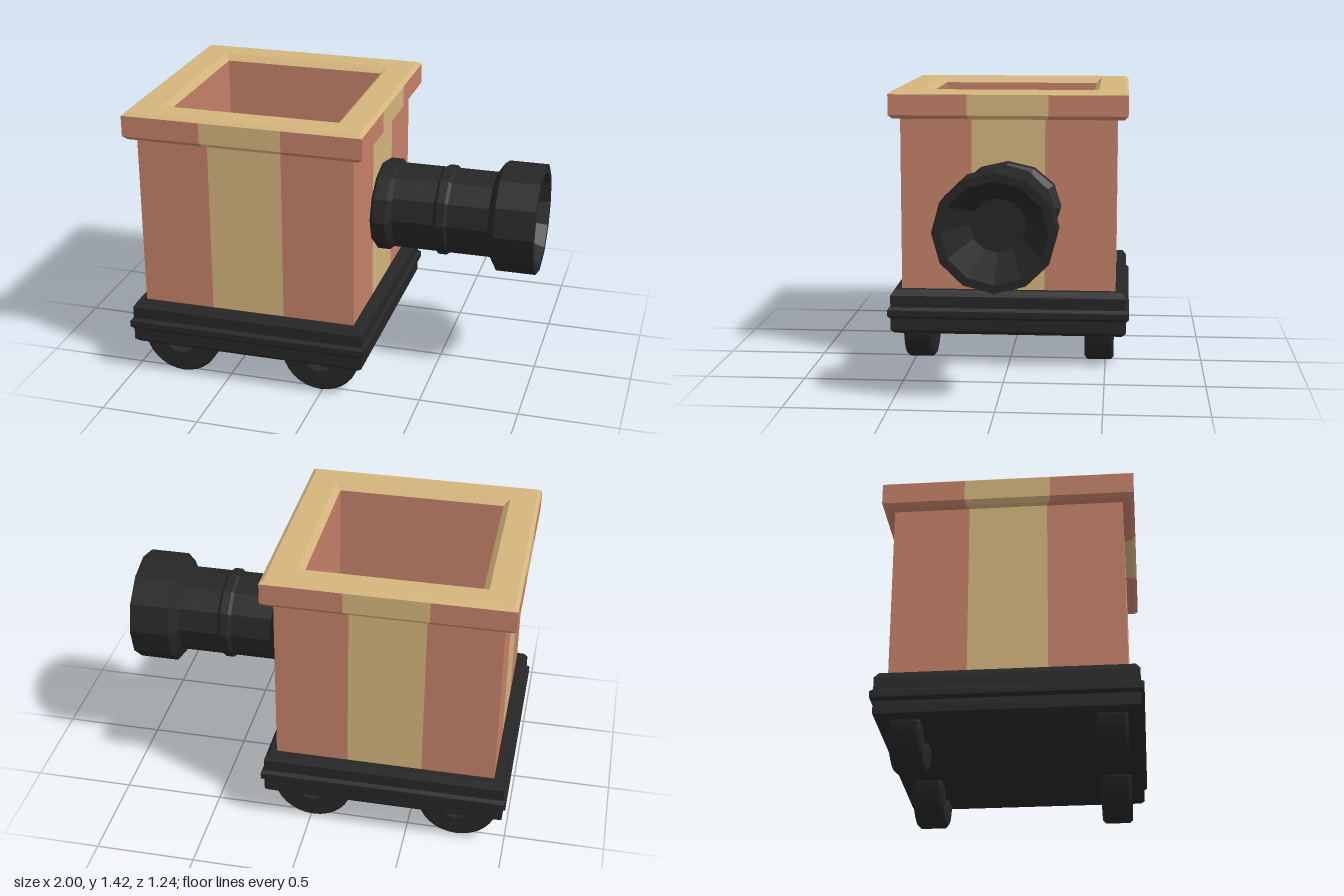
import * as THREE from 'three';

const paint = (color) => new THREE.MeshStandardMaterial({ color, flatShading: true });
const CENTER_X = -0.38;
const STRIPE = 0.34; // stripe half-width as a fraction of the wall half-width

const toPoints = (pairs) => pairs.map(([r, y]) => new THREE.Vector2(r, y));

// Square ring or box swept from [half-width, height] pairs
function squareLathe(pairs) {
  const g = new THREE.LatheGeometry(toPoints(pairs.map(([r, y]) => [r * Math.SQRT2, y])), 4);
  return g.rotateY(Math.PI / 4);
}

// Twelve-sided lathe lying along +x, from [radius, x] pairs
function barrelLathe(pairs) {
  return new THREE.LatheGeometry(toPoints(pairs), 12).rotateZ(-Math.PI / 2);
}

// Vertical strip of the +z wall between two fractions of its half-width
function wallStrip(profile, from, to) {
  const position = [], index = [];
  profile.forEach(([d, y], i) => {
    position.push(d * from, y, d, d * to, y, d);
    if (i > 0) {
      const a = 2 * (i - 1);
      index.push(a, a + 1, a + 3, a, a + 3, a + 2);
    }
  });
  const g = new THREE.BufferGeometry();
  g.setAttribute('position', new THREE.Float32BufferAttribute(position, 3));
  g.setIndex(index);
  g.computeVertexNormals();
  return g;
}

export function createModel() {
  const model = new THREE.Group();
  const clay = paint(0xc48068), cream = paint(0xd4b47c), iron = paint(0x262626);

  const add = (parent, name, geometry, material) => {
    const mesh = new THREE.Mesh(geometry, material);
    mesh.name = name;
    parent.add(mesh);
    return mesh;
  };

  const cart = new THREE.Group();
  cart.name = 'cart';
  cart.position.x = CENTER_X;
  model.add(cart);

  // Base plinth with a raised band
  add(cart, 'base', squareLathe([
    [0, 0.17], [0.585, 0.17], [0.605, 0.19], [0.605, 0.25], [0.62, 0.265], [0.62, 0.295],
    [0.605, 0.31], [0.605, 0.37], [0.585, 0.4], [0, 0.4],
  ]), iron);

  // Four striped walls, including the outside of the rim
  const wall = [[0.55, 0.4], [0.55, 1.28], [0.585, 1.28], [0.605, 1.3], [0.605, 1.405]];
  for (let i = 0; i < 4; i++) {
    const side = new THREE.Group();
    side.name = 'wall';
    side.rotation.y = i * Math.PI / 2;
    add(side, 'wallPanel', wallStrip(wall, -1, -STRIPE), clay);
    add(side, 'wallStripe', wallStrip(wall, -STRIPE, STRIPE), cream);
    add(side, 'wallPanel', wallStrip(wall, STRIPE, 1), clay);
    cart.add(side);
  }

  // Rim top and hollow interior
  add(cart, 'rim', squareLathe([[0.605, 1.405], [0.585, 1.42], [0.455, 1.42], [0.425, 1.39]]), cream);
  add(cart, 'interior', squareLathe([[0.425, 1.39], [0.425, 0.42], [0, 0.42]]), clay);

  // Half-sunk ring wheels
  const wheelProfile = [
    [0.09, -0.075], [0.185, -0.075], [0.2, -0.06], [0.2, 0.06], [0.185, 0.075], [0.09, 0.075], [0.09, -0.075],
  ];
  const wheelGeometry = new THREE.LatheGeometry(toPoints(wheelProfile), 16, 0, Math.PI)
    .rotateZ(-Math.PI / 2).rotateY(Math.PI / 2);
  for (const x of [-0.375, 0.37]) {
    for (const z of [-0.468, 0.468]) {
      add(cart, 'wheel', wheelGeometry, iron).position.set(x, 0.2, z);
    }
  }

  // Side barrel: wide collar, tube with a ring, flared hollow muzzle
  const barrel = new THREE.Group();
  barrel.name = 'barrel';
  barrel.position.y = 0.84;
  model.add(barrel);
  add(barrel, 'collar', barrelLathe([
    [0, 0.165], [0.212, 0.17], [0.228, 0.185], [0.228, 0.25], [0.2, 0.275], [0, 0.275],
  ]), iron).scale.z = 1.19;
  add(barrel, 'tube', barrelLathe([
    [0.217, 0.17], [0.217, 0.485], [0.23, 0.5], [0.23, 0.54], [0.217, 0.555], [0.217, 0.76],
    [0.28, 0.8], [0.28, 1], [0.24, 1], [0.13, 0.78], [0, 0.78],
  ]), iron).scale.z = 1.03;

  return model;
}
